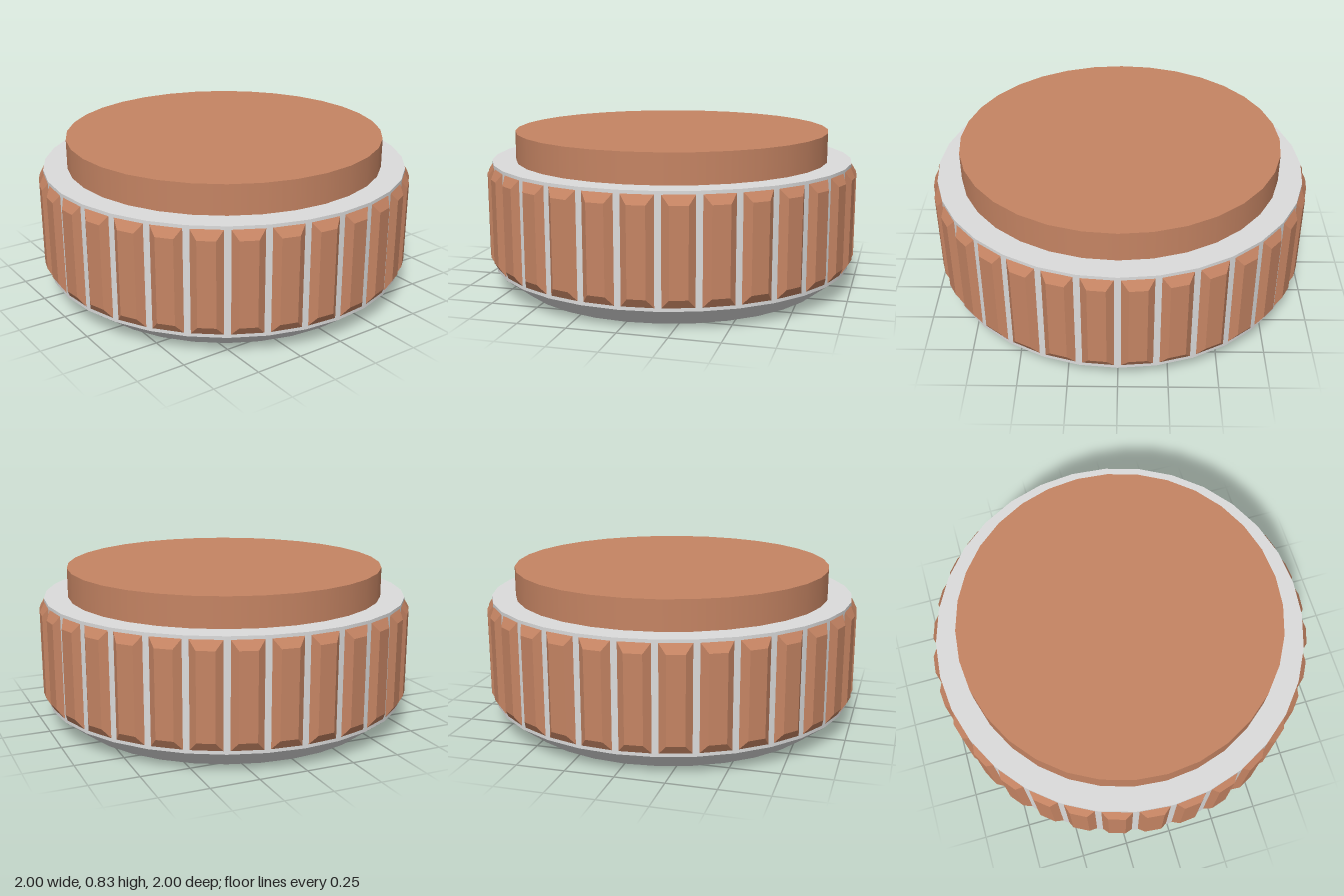
import * as THREE from 'three';

const SIDES = 32;
const BODY_RADIUS = 0.975;

// Grip rib: a box whose outer face is pulled in on all four sides
function ribGeometry() {
  const geometry = new THREE.BoxGeometry(2, 2, 2);
  const p = geometry.attributes.position;
  for (let i = 0; i < p.count; i++) {
    const outer = p.getZ(i) > 0;
    p.setXYZ(i,
      p.getX(i) * (outer ? 0.045 : 0.083),
      0.39 + p.getY(i) * (outer ? 0.222 : 0.273),
      outer ? 1.0 : 0.967);
  }
  geometry.computeVertexNormals();
  return geometry;
}

export function createModel() {
  const group = new THREE.Group();
  const copper = new THREE.MeshStandardMaterial({ color: 0xc58463 });
  copper.name = 'copper';
  const silver = new THREE.MeshStandardMaterial({ color: 0xdcdcdc });
  silver.name = 'silver';

  const add = (name, geometry, material, y = 0, parent = group) => {
    const mesh = new THREE.Mesh(geometry, material);
    mesh.name = name;
    mesh.position.y = y;
    parent.add(mesh);
    return mesh;
  };

  // Core drum, with its top forming the ledge
  add('drum', new THREE.CylinderGeometry(BODY_RADIUS, BODY_RADIUS, 0.57, SIDES), silver, 0.39);

  // Tapered foot and its underside
  add('taperedFoot', new THREE.CylinderGeometry(BODY_RADIUS, 0.84, 0.105, SIDES, 1, true), silver, 0.0525);
  add('underside', new THREE.CircleGeometry(0.84, SIDES).rotateX(Math.PI / 2), copper);

  // Raised cap
  add('raisedCap', new THREE.CylinderGeometry(0.848, 0.848, 0.157, SIDES), copper, 0.7515);

  // Ring of grip ribs, one centred on each drum facet
  const ribs = new THREE.Group();
  ribs.name = 'gripRibs';
  group.add(ribs);
  const rib = ribGeometry();
  for (let i = 0; i < SIDES; i++) {
    add('gripRib', rib, copper, 0, ribs).rotation.y = ((i + 0.5) / SIDES) * Math.PI * 2;
  }

  return group;
}
